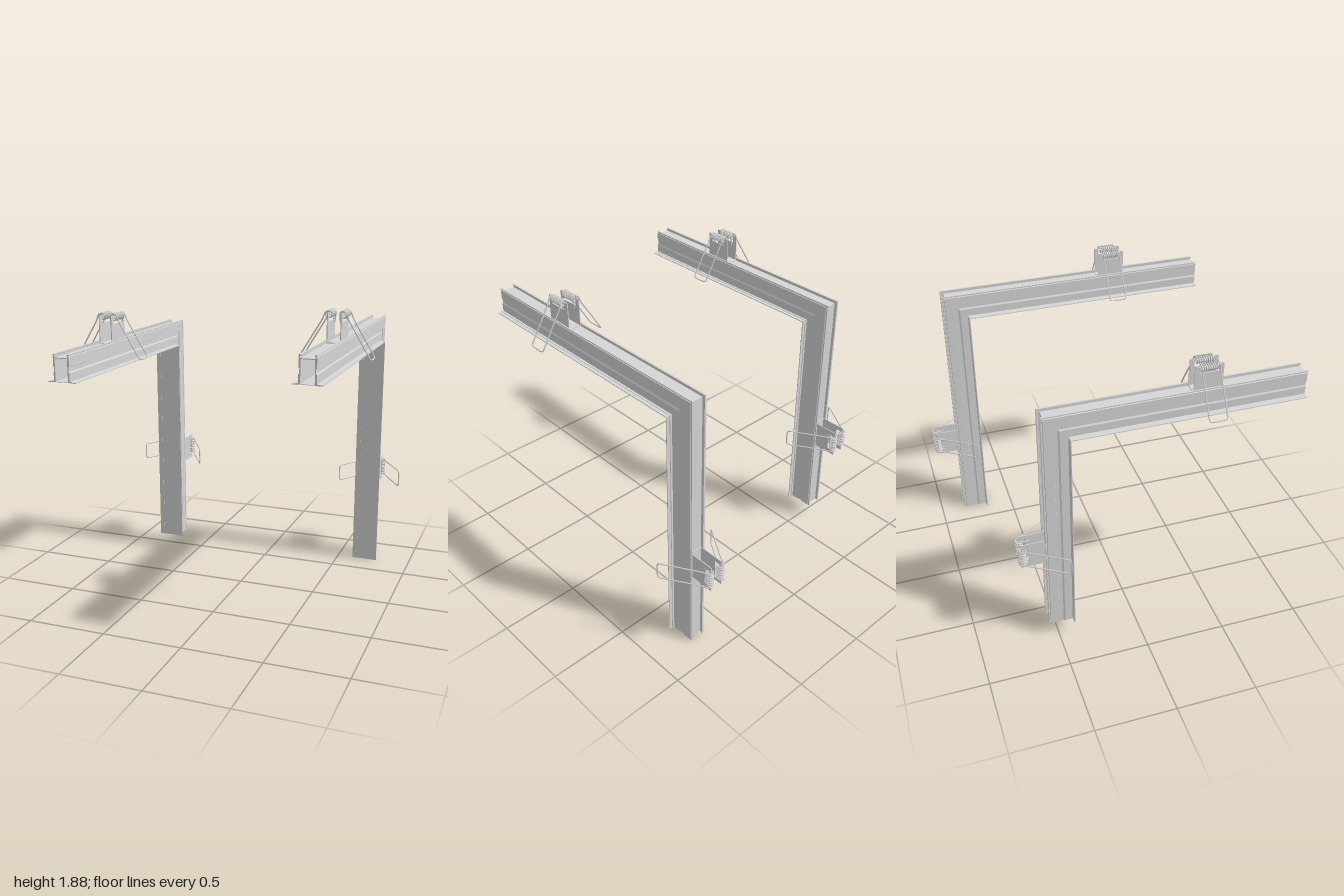
import * as THREE from 'three';

const aluminium = new THREE.MeshStandardMaterial({ color: 0xd6d6d6 });
aluminium.name = 'light aluminium grey';

// Half of the rail section: [half width, depth from the room-side face]
const half = [
  [0.039, 0.135], [0.039, 0.004], [0.055, 0.004], [0.055, 0], [0.085, 0], [0.085, 0.005],
  [0.064, 0.005], [0.062, 0.008], [0.05, 0.008], [0.05, 0.055], [0.045, 0.065], [0.045, 0.088],
  [0.05, 0.09], [0.05, 0.147], [0.046, 0.149], [0.046, 0.152], [0.05, 0.154], [0.05, 0.16],
  [0.038, 0.16], [0.038, 0.154], [0.041, 0.152], [0.041, 0.14],
];
const mirrored = (pts) => [...pts, ...pts.slice().reverse().map(([u, d]) => [-u, d])];
const toShape = (pts) => new THREE.Shape(pts.map(([a, b]) => new THREE.Vector2(a, b)));

const railShape = toShape(mirrored(half));
const coverShape = toShape(mirrored([[0.055, 0.0015], [0.055, 0.004]]));

function add(parent, name, geometry) {
  const mesh = new THREE.Mesh(geometry, aluminium);
  mesh.name = name;
  parent.add(mesh);
}

// Extrudes a section along one leg; one end is cut to the mitre by the map
function leg(shape, map) {
  const g = new THREE.ExtrudeGeometry(shape, { depth: 1, steps: 1, bevelEnabled: false });
  const p = g.attributes.position;
  for (let i = 0; i < p.count; i++) p.setXYZ(i, ...map(p.getX(i), p.getY(i), p.getZ(i)));
  g.computeVertexNormals();
  return g;
}

class Helix extends THREE.Curve {
  getPoint(t, target = new THREE.Vector3()) {
    const a = t * Math.PI * 2 * 8;
    return target.set(0.042 + 0.02 * Math.cos(a), 0.3 + 0.02 * Math.sin(a), -0.053 + 0.106 * t);
  }
}

// Wire arm: out of the coil, down and outward, across, and back
const arm = [
  [0.042, 0.32, -0.053], [0.06, 0.31, -0.053], [0.075, 0.275, -0.053], [0.14, 0.167, -0.053],
  [0.2, 0.067, -0.053], [0.206, 0.056, -0.051], [0.209, 0.052, -0.044],
];
const armPoints = [...arm, ...arm.slice().reverse().map(([u, d, z]) => [u, d, -z])]
  .map((p) => new THREE.Vector3(...p));

// Inner tail of the spring, resting against the bracket
const tail = [[0.026, 0.31, 0.05], [0.027, 0.27, 0.05], [0.033, 0.24, 0.045]]
  .map((p) => new THREE.Vector3(...p));

// Bracket plate with a notch for the coil: [along rail, depth]
const plateShape = toShape([
  [-0.085, 0.135], [0.085, 0.135], [0.085, 0.31], [0.056, 0.31],
  [0.056, 0.26], [-0.056, 0.26], [-0.056, 0.31], [-0.085, 0.31],
]);
const plateGeo = new THREE.ExtrudeGeometry(plateShape, { depth: 0.005, bevelEnabled: false })
  .rotateY(-Math.PI / 2).translate(0.042, 0, 0);
const coilGeo = new THREE.TubeGeometry(new Helix(), 128, 0.0042, 6);
const armGeo = new THREE.TubeGeometry(new THREE.CatmullRomCurve3(armPoints), 110, 0.0042, 6);
const tailGeo = new THREE.TubeGeometry(new THREE.CatmullRomCurve3(tail), 10, 0.0042, 6);
const pinGeo = new THREE.CylinderGeometry(0.004, 0.004, 0.13, 8)
  .rotateX(Math.PI / 2).translate(0.0395, 0.3, 0);
const baseGeo = new THREE.BoxGeometry(0.08, 0.005, 0.17).translate(0, 0.143, 0);

function springClip(name) {
  const clip = new THREE.Group();
  clip.name = name;
  add(clip, 'clipBase', baseGeo);
  for (const turn of [0, Math.PI]) {
    const side = new THREE.Group();
    side.name = turn ? 'rightClipSide' : 'leftClipSide';
    side.rotation.y = turn;
    add(side, 'bracketPlate', plateGeo);
    add(side, 'springPin', pinGeo);
    add(side, 'springCoil', coilGeo);
    add(side, 'springArm', armGeo);
    add(side, 'springTail', tailGeo);
    clip.add(side);
  }
  return clip;
}

// One L-shaped rail; innerY and innerZ locate the inside corner
function cornerRail({ name, x, bottom, innerY, innerZ, front, clipZ, clipY }) {
  const rail = new THREE.Group();
  rail.name = name;
  rail.position.x = x;
  const across = (u, d, t) => [u, innerY + d, innerZ - d + t * (front - innerZ + d)];
  const down = (u, d, t) => [u, bottom + t * (innerY + d - bottom), innerZ - d];
  add(rail, 'horizontalProfile', leg(railShape, across));
  add(rail, 'verticalProfile', leg(railShape, down));
  add(rail, 'horizontalCover', leg(coverShape, across));
  add(rail, 'verticalCover', leg(coverShape, down));

  const topClip = springClip('topClip');
  topClip.position.set(0, innerY, clipZ);
  const backClip = springClip('backClip');
  backClip.rotation.x = -Math.PI / 2;
  backClip.position.set(0, clipY, innerZ);
  rail.add(topClip, backClip);
  return rail;
}

export function createModel() {
  const model = new THREE.Group();
  model.name = 'cornerRails';
  model.add(
    cornerRail({ name: 'rightRail', x: -0.69, bottom: 0.1, innerY: 1.5, innerZ: -0.4,
      front: 1, clipZ: 0.395, clipY: 0.705 }),
    cornerRail({ name: 'leftRail', x: 0.69, bottom: 0, innerY: 1.56, innerZ: -0.675,
      front: 0.88, clipZ: 0.28, clipY: 0.605 }),
  );
  return model;
}
